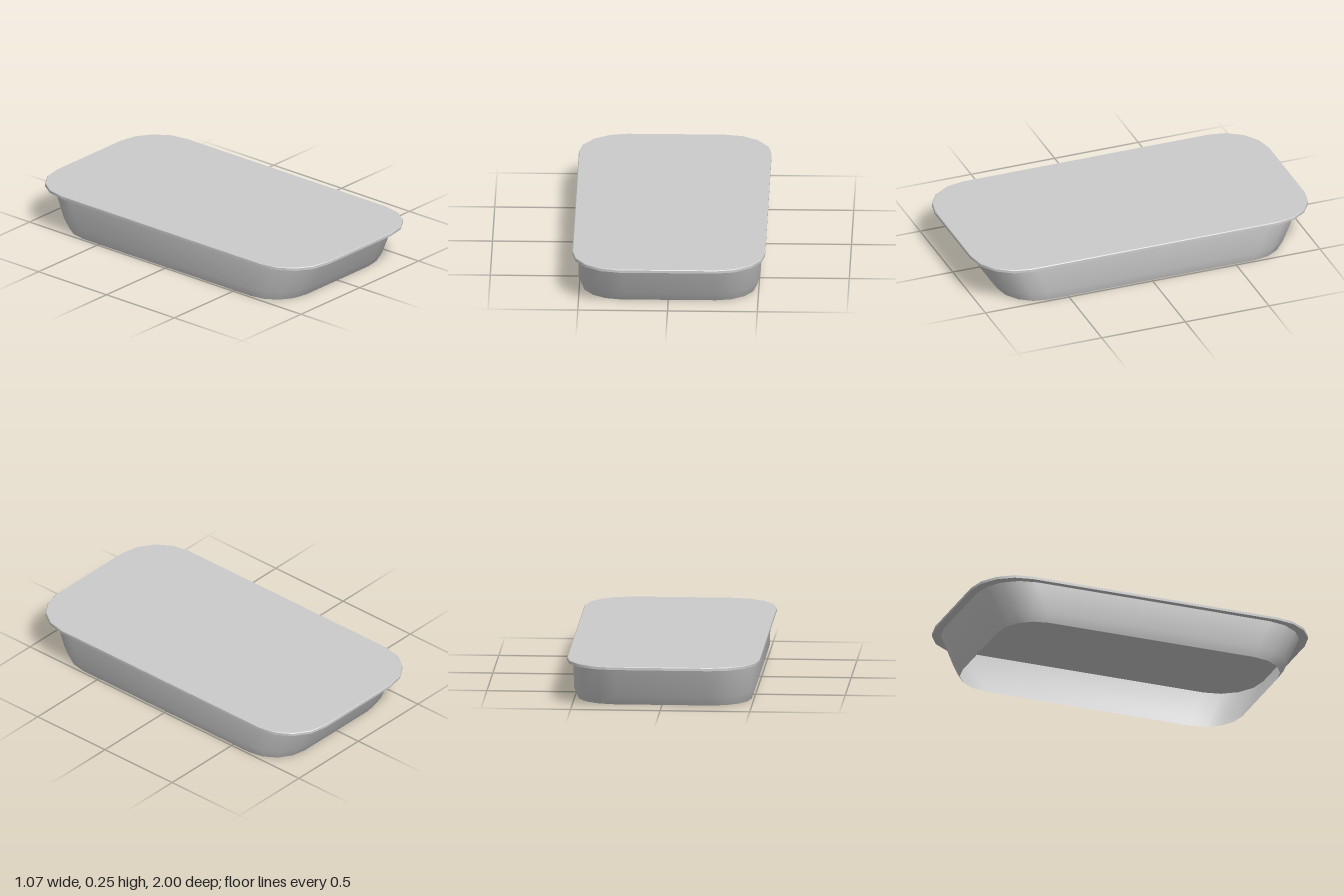
import * as THREE from 'three';
import { toCreasedNormals } from 'three/addons/utils/BufferGeometryUtils.js';

const CORNER_STEPS = 4;

// Rounded rectangle loop: half width a, half length b, corner radius r, height y
function ring([a, b, r, y]) {
  const points = [];
  for (let corner = 0; corner < 4; corner++) {
    const sx = corner === 0 || corner === 3 ? 1 : -1;
    const sz = corner < 2 ? 1 : -1;
    for (let i = 0; i <= CORNER_STEPS; i++) {
      const t = (corner + i / CORNER_STEPS) * Math.PI / 2;
      points.push([sx * (a - r) + r * Math.cos(t), y, sz * (b - r) + r * Math.sin(t)]);
    }
  }
  return points;
}

// Skin a stack of loops; closed adds flat fans over the first and last loop
function loft(name, sections, closed, side) {
  const rings = sections.map(ring);
  const n = rings[0].length;
  const pos = [];
  for (let k = 0; k < rings.length - 1; k++) {
    const p = rings[k], q = rings[k + 1];
    for (let i = 0; i < n; i++) {
      const j = (i + 1) % n;
      pos.push(...p[i], ...q[i], ...p[j], ...p[j], ...q[i], ...q[j]);
    }
  }
  if (closed) {
    const p = rings[0], q = rings[rings.length - 1];
    for (let i = 0; i < n; i++) {
      const j = (i + 1) % n;
      pos.push(...p[j], 0, p[0][1], 0, ...p[i]);
      pos.push(...q[i], 0, q[0][1], 0, ...q[j]);
    }
  }
  const geometry = new THREE.BufferGeometry();
  geometry.setAttribute('position', new THREE.Float32BufferAttribute(pos, 3));
  const mesh = new THREE.Mesh(
    toCreasedNormals(geometry, Math.PI / 5),
    new THREE.MeshStandardMaterial({ color: 0xcccccc, side })
  );
  mesh.name = name;
  return mesh;
}

export function createModel() {
  const group = new THREE.Group();
  group.name = 'shallowTray';

  // Thin flared wall, open at the bottom
  group.add(loft('sideWall', [
    [0.486, 0.837, 0.22, 0],
    [0.505, 0.875, 0.245, 0.055],
    [0.505, 0.955, 0.258, 0.227],
  ], false, THREE.DoubleSide));

  // Flat lid overhanging the wall, with a tiny bevel on its top edge
  group.add(loft('lid', [
    [0.537, 1, 0.267, 0.227],
    [0.537, 1, 0.267, 0.241],
    [0.533, 0.996, 0.263, 0.245],
  ], true, THREE.FrontSide));

  return group;
}
